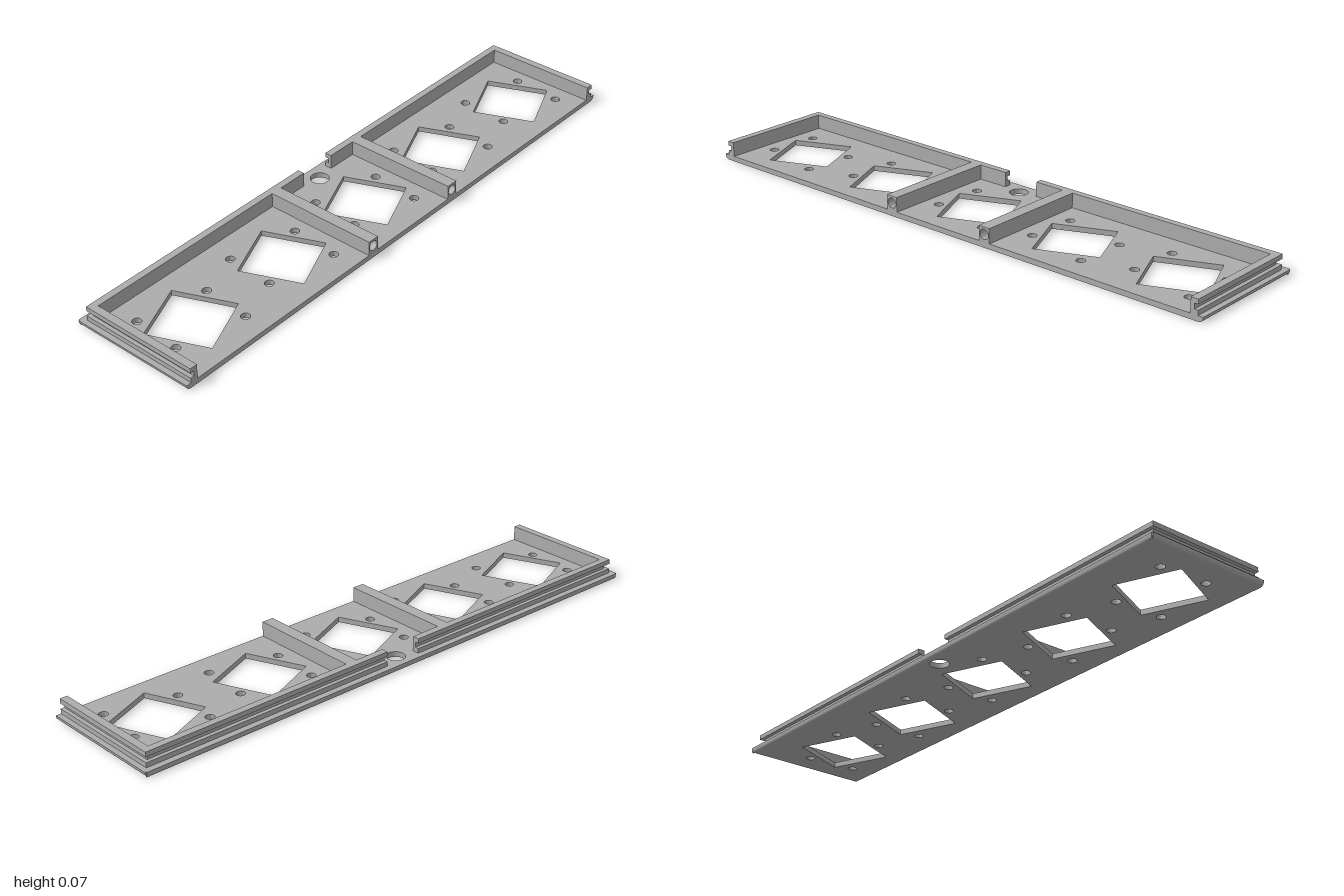
import * as THREE from 'three';
import { toCreasedNormals } from 'three/addons/utils/BufferGeometryUtils.js';

const HALF_W = 1, HALF_D = 0.222, BASE = 0.018, TOP = 0.068;
const SIDE_R = 0.016, BACK_R = 0.006;

function polygon(points) {
  return new THREE.Shape(points.map(([x, y]) => new THREE.Vector2(x, y)));
}

function circle(x, y, r) {
  return new THREE.Path().absarc(x, y, r, 0, Math.PI * 2, true);
}

function extrude(shape, depth) {
  const geo = new THREE.ExtrudeGeometry(shape, { depth, bevelEnabled: false, curveSegments: 16 });
  return toCreasedNormals(geo, 0.6);
}

// Extrudes a plan drawn as (x, -z) upwards from y0 to y1
function slab(shape, y0, y1) {
  return extrude(shape, y1 - y0).rotateX(-Math.PI / 2).translate(0, y0, 0);
}

// Edge profile with its lower outer corner rounded
function edgeProfile(width) {
  const s = new THREE.Shape();
  s.moveTo(0, 0);
  s.absarc(0, width, width, -Math.PI / 2, 0, false);
  s.lineTo(width, BASE);
  s.lineTo(0, BASE);
  return s;
}

export function createModel() {
  const model = new THREE.Group();
  const grey = new THREE.MeshStandardMaterial({ color: 0xacacac });
  grey.name = 'grey plastic';
  const add = (name, geometry, parent = model) => {
    const mesh = new THREE.Mesh(geometry, grey);
    mesh.name = name;
    parent.add(mesh);
    return mesh;
  };

  // Base plate with five tilted square windows, each with four screw holes
  const x = HALF_W - SIDE_R, back = HALF_D - BACK_R;
  const plate = polygon([[-x, -HALF_D], [x, -HALF_D], [x, back], [-x, back]]);
  const screws = [[-0.111, 0.112], [0.123, 0.059], [-0.122, -0.059], [0.11, -0.112]];
  for (let i = -2; i <= 2; i++) {
    const cx = i * 0.391, cy = -0.024;
    const corners = [[0.056, 0.139], [0.139, -0.056], [-0.056, -0.139], [-0.139, 0.056]];
    plate.holes.push(polygon(corners.map(([u, v]) => [cx + u, cy + v])));
    for (const [u, v] of screws) plate.holes.push(circle(cx + u, cy + v, 0.015));
  }
  plate.holes.push(circle(0, 0.168, 0.031)); // cable hole
  add('basePlate', slab(plate, 0, BASE));

  // Rounded plate edges on both sides and the back
  const sideEdge = extrude(edgeProfile(SIDE_R), HALF_D * 2 - 0.003);
  add('leftPlateEdge', sideEdge.clone().translate(x, 0, -HALF_D + 0.003));
  add('rightPlateEdge', sideEdge.clone().rotateY(Math.PI).translate(-x, 0, HALF_D));
  add('backPlateEdge', extrude(edgeProfile(BACK_R), (HALF_W - 0.005) * 2)
    .rotateY(Math.PI / 2).translate(-HALF_W + 0.005, 0, -back));

  for (const side of [1, -1]) {
    const half = new THREE.Group();
    half.name = side > 0 ? 'leftHalf' : 'rightHalf';
    model.add(half);

    // L-shaped rim in three layers; the middle one is set in to form the groove
    const layers = [['rimFoot', BASE, 0.034, 0], ['rimGroove', 0.034, 0.052, 0.013], ['rimLip', 0.052, TOP, 0]];
    for (const [name, y0, y1, inset] of layers) {
      const ox = 0.982 - inset, oz = 0.201 - inset;
      const plan = [[ox, -HALF_D], [ox, oz], [0.066, oz], [0.066, 0.177], [0.956, 0.177], [0.956, -HALF_D]];
      add(name, slab(polygon(plan.map(([u, v]) => [u * side, v])), y0, y1), half);
    }

    // Divider wall with a blind screw hole in its front end
    const w = 0.042, h = TOP - BASE, bore = 0.1, cx = side * 0.195;
    const end = polygon([[-w / 2, 0], [w / 2, 0], [w / 2, h], [-w / 2, h]]);
    end.holes.push(circle(0, h / 2 + 0.001, 0.017));
    add('dividerFront', extrude(end, bore).translate(cx, BASE, HALF_D - bore), half);
    const length = HALF_D - bore + 0.177;
    add('divider', new THREE.BoxGeometry(w, h, length)
      .translate(cx, BASE + h / 2, -0.177 + length / 2), half);
  }
  return model;
}
